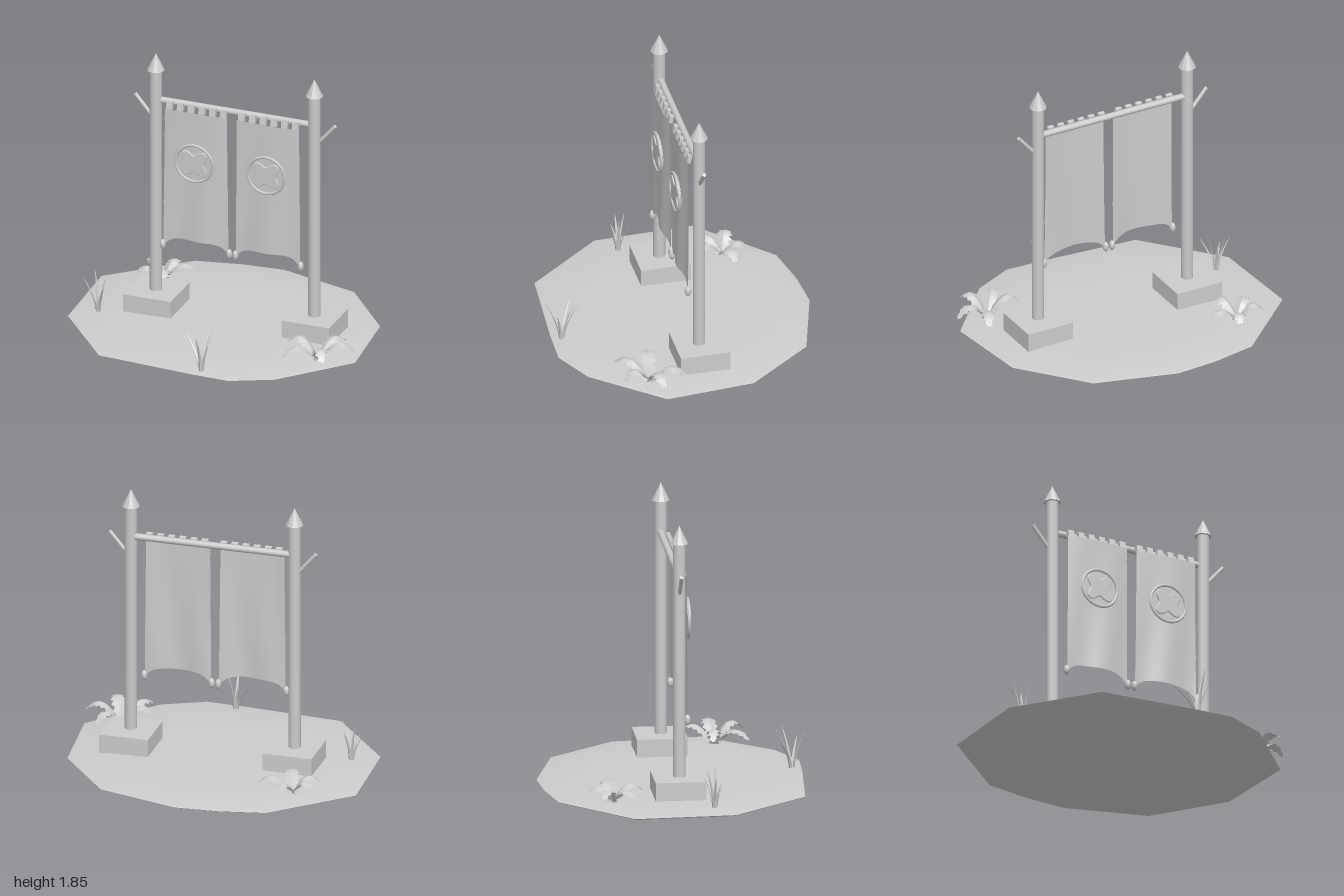
import * as THREE from 'three';
import { toCreasedNormals } from 'three/addons/utils/BufferGeometryUtils.js';

const stone = new THREE.MeshStandardMaterial({ color: 0xcccccc, side: THREE.DoubleSide });
stone.name = 'plain grey';

function add(parent, name, geometry, x = 0, y = 0, z = 0) {
  const mesh = new THREE.Mesh(geometry, stone);
  mesh.name = name;
  mesh.position.set(x, y, z);
  parent.add(mesh);
  return mesh;
}

// Skin a list of equally long cross-sections; closed joins each section's ends.
function loft(sections, closed = false) {
  const n = sections[0].length, index = [];
  for (let i = 0; i < sections.length - 1; i++) {
    for (let j = 0; j < (closed ? n : n - 1); j++) {
      const a = i * n + j, b = i * n + (j + 1) % n;
      index.push(a, b, a + n, b, b + n, a + n);
    }
  }
  const g = new THREE.BufferGeometry();
  g.setAttribute('position', new THREE.Float32BufferAttribute(sections.flat(2), 3));
  g.setIndex(index);
  g.computeVertexNormals();
  return g;
}

// Cylinder between two points
function rod(parent, name, a, b, radius, sides = 8) {
  const from = new THREE.Vector3(...a), to = new THREE.Vector3(...b);
  const dir = to.clone().sub(from);
  const mesh = add(parent, name, new THREE.CylinderGeometry(radius, radius, dir.length(), sides));
  mesh.position.copy(from).lerp(to, 0.5);
  mesh.quaternion.setFromUnitVectors(new THREE.Vector3(0, 1, 0), dir.normalize());
  return mesh;
}

// Thin faceted island: irregular outline scaled through a few levels
function ground() {
  const outline = [[-1, -0.36], [-0.53, -0.8], [-0.23, -0.86], [0.05, -0.88], [0.59, -0.73], [0.94, -0.3],
    [1, 0.28], [0.62, 0.71], [0.35, 0.84], [0.08, 0.83], [-0.56, 0.78], [-0.97, 0.29]];
  const levels = [[0.001, 0], [0.5, 0.012], [0.97, 0.042], [1, 0.055], [0.97, 0.062], [0.65, 0.076], [0.001, 0.084]];
  const g = loft(levels.map(([s, y]) => outline.map(([x, z]) => [x * s, y, z * s])), true);
  return toCreasedNormals(g, 0.4);
}

// Height fraction v runs from the top hem (0) to the scalloped bottom (1)
const WIDTH = 0.425, TOP = 1.5;
function clothPoint(u, v, phase, lift = 0) {
  const bottom = 0.605 - 0.065 * Math.abs(2 * u - 1) ** 5;
  const fold = 0.014 * Math.sin(Math.PI * u) + 0.007 * Math.sin(u * 9 + v * 2 + phase) * (0.3 + v);
  return [(u - 0.5) * WIDTH - 0.008 * v * (1 - 2 * u), TOP + (bottom - TOP) * v, 0.032 + fold + lift];
}

function clothPatch(v0, v1, rows, phase, lift = 0) {
  const sections = [];
  for (let i = 0; i <= rows; i++) {
    const row = [];
    for (let j = 0; j <= 20; j++) row.push(clothPoint(j / 20, v0 + (v1 - v0) * i / rows, phase, lift));
    sections.push(row);
  }
  return loft(sections);
}

function banner(x, phase) {
  const g = new THREE.Group();
  g.name = 'banner';
  g.position.x = x;
  add(g, 'cloth', clothPatch(0, 1, 18, phase));
  add(g, 'lowerBand', clothPatch(0.665, 0.71, 2, phase, 0.004));
  add(g, 'upperBand', clothPatch(0, 0.085, 2, phase, 0.003));

  // Loops hanging the cloth from the bar
  for (let i = 0; i < 6; i++) {
    const tab = add(g, 'hangingTab', new THREE.BoxGeometry(0.042, 0.05, 0.026), (i - 2.5) * 0.074, 1.518, 0.018);
    tab.rotation.x = -0.2;
  }

  // Round emblem: disc, rim and crossed lobes
  const disc = add(g, 'emblemDisc', new THREE.CylinderGeometry(0.127, 0.127, 0.012, 32), 0, 1.16, 0.058);
  disc.rotation.x = Math.PI / 2;
  add(g, 'emblemRim', new THREE.TorusGeometry(0.126, 0.01, 6, 32), 0, 1.16, 0.064);
  const points = [];
  for (let i = 0; i < 40; i++) {
    const a = i / 40 * Math.PI * 2;
    const r = 0.088 - 0.026 * Math.cos(4 * a) + 0.004 * Math.cos(2 * a);
    points.push(new THREE.Vector2(r * Math.cos(a), r * Math.sin(a)));
  }
  const cross = new THREE.ExtrudeGeometry(new THREE.Shape(points),
    { depth: 0.002, bevelThickness: 0.005, bevelSize: 0.006, bevelOffset: -0.006, bevelSegments: 2 });
  add(g, 'emblemCross', cross, 0, 1.16, 0.066);

  // Weights at the lower corners
  for (const u of [0, 1]) {
    const [px, , pz] = clothPoint(u, 1, phase);
    const weight = add(g, 'cornerWeight', new THREE.SphereGeometry(0.02, 10, 8), px + (u - 0.5) * 0.01, 0.547, pz);
    weight.scale.set(1, 1.7, 1.1);
  }
  return g;
}

// Serrated arching leaf along +x
function fernLeaf(length, height) {
  const sections = [];
  const steps = 14;
  for (let i = 0; i <= steps; i++) {
    const t = i / steps;
    const body = 0.008 + 0.036 * Math.sin(Math.PI * Math.min(1, 0.12 + t * 0.85));
    const w = i === steps ? 0.002 : body * (i % 2 ? 1.2 : 0.75);
    const y = height * (Math.sin(t * 2.5) - 0.1 * t);
    const x = length * t;
    sections.push([[x + 0.008, y - w * 0.35, -w], [x, y, 0], [x + 0.008, y - w * 0.35, w]]);
  }
  return toCreasedNormals(loft(sections), 0.5);
}

function fern(x, y, z, height, tips) {
  const g = new THREE.Group();
  g.name = 'fern';
  g.position.set(x, y, z);
  tips.forEach(([tx, tz], i) => {
    const dx = tx - x, dz = tz - z;
    const leaf = add(g, 'fernLeaf', fernLeaf(Math.hypot(dx, dz), height * (i % 2 ? 0.88 : 1)));
    leaf.rotation.y = Math.atan2(-dz, dx);
  });
  return g;
}

// Bent tapering blades fanning out from one spot
function grass(x, y, z, tips) {
  const g = new THREE.Group();
  g.name = 'grassClump';
  g.position.set(x, y, z);
  for (const [tx, ty, tz] of tips) {
    const d = Math.hypot(tx, tz), nx = -tz / d, nz = tx / d, sections = [];
    for (let i = 0; i <= 6; i++) {
      const t = i / 6, w = 0.013 * (1 - t) ** 0.7 + 0.0008, s = 0.1 + 0.9 * t ** 1.6;
      const px = tx * s, pz = tz * s, py = ty * t;
      sections.push([[px + nx * w, py, pz + nz * w],
        [px + tx / d * w * 0.6, py, pz + tz / d * w * 0.6], [px - nx * w, py, pz - nz * w]]);
    }
    add(g, 'grassBlade', toCreasedNormals(loft(sections), 0.5));
  }
  return g;
}

export function createModel() {
  const model = new THREE.Group();
  model.name = 'bannerStand';
  add(model, 'ground', ground());

  // Posts, plinths and side pegs, mirrored about the frame's middle
  const mid = 0.055, z = -0.022;
  for (const side of [-1, 1]) {
    const x = mid + side * 0.545;
    add(model, 'plinth', new THREE.BoxGeometry(0.326, 0.13, 0.326), x, 0.13, -0.028);
    add(model, 'post', new THREE.CylinderGeometry(0.04, 0.04, 1.6, 10), x, 0.95, z);
    add(model, 'postCap', toCreasedNormals(new THREE.ConeGeometry(0.057, 0.118, 10), 0.4), x, 1.791, z);
    rod(model, 'sidePeg', [x + side * 0.02, 1.4, z], [x + side * 0.143, 1.543, z], 0.013);
  }
  rod(model, 'crossbar', [mid - 0.53, 1.525, -0.026], [mid + 0.53, 1.525, -0.026], 0.022, 10);

  model.add(banner(-0.193, 0.4), banner(0.302, 1.6));

  // Plants
  model.add(fern(-0.61, 0.07, -0.46, 0.115,
    [[-0.39, -0.5], [-0.55, -0.61], [-0.76, -0.53], [-0.75, -0.34], [-0.54, -0.27]]));
  model.add(fern(0.77, 0.065, 0.34, 0.145,
    [[1, 0.3], [0.87, 0.13], [0.55, 0.31], [0.6, 0.54], [0.87, 0.53]]));
  model.add(grass(-0.81, 0.06, 0.17, [[-0.1, 0.22, 0], [-0.04, 0.26, -0.05], [0.03, 0.22, -0.07],
    [0.06, 0.27, 0.01], [0.07, 0.21, 0.09], [-0.05, 0.18, 0.04]]));
  model.add(grass(0.14, 0.06, 0.77, [[-0.14, 0.21, -0.09], [-0.04, 0.18, -0.06], [0.02, 0.25, -0.1],
    [0.06, 0.27, -0.06], [0.06, 0.2, 0.04], [0, 0.27, 0.1]]));
  return model;
}
